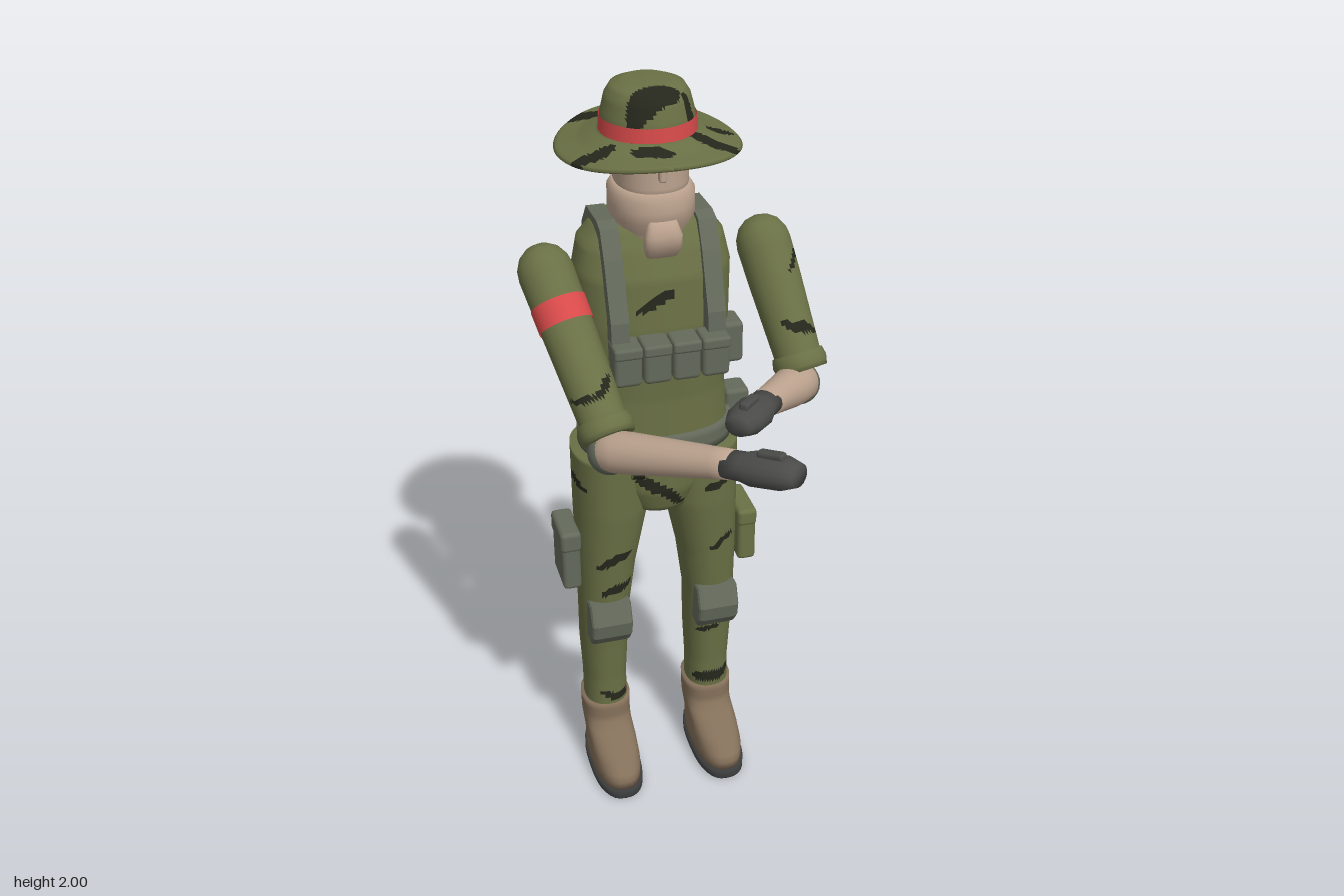
import * as THREE from 'three';
import { RoundedBoxGeometry } from 'three/addons/geometries/RoundedBoxGeometry.js';

const mat = (name, color, side = THREE.FrontSide) => {
  const m = new THREE.MeshStandardMaterial({ color, side });
  m.name = name;
  return m;
};
const V = (a) => new THREE.Vector3(...a);
const CX = -0.032, CZ = -0.24; // body axis

// camouflage patches: x, y, z, half length, slope
const PATCHES = [
  [-0.05, 0.96, -0.12, 0.075, -0.8], [-0.17, 0.74, -0.14, 0.05, 0.5], [-0.16, 0.64, -0.15, 0.05, 0.4],
  [0.13, 0.75, -0.14, 0.04, 0.5], [0.12, 0.95, -0.12, 0.05, 0.3], [0.12, 0.25, -0.18, 0.07, 0.2],
  [-0.16, 0.24, -0.19, 0.05, -0.3], [0.1, 0.43, -0.18, 0.035, 0.3], [0.19, 0.86, -0.27, 0.07, 0.3],
  [0.17, 1.2, -0.3, 0.07, 0.2], [0.17, 1.37, -0.31, 0.06, 0.4], [0.18, 0.57, -0.23, 0.06, -0.4],
  [0.05, 1.6, -0.37, 0.09, 0.1], [-0.15, 1.3, -0.34, 0.08, -0.2], [0.04, 1.22, -0.37, 0.07, 0.3],
  [-0.09, 0.99, -0.37, 0.08, -0.3], [-0.14, 0.78, -0.34, 0.06, 0.4], [0.11, 0.7, -0.34, 0.06, -0.3],
  [-0.2, 0.48, -0.31, 0.06, 0.3], [0.12, 0.38, -0.33, 0.06, 0.3], [-0.05, 1.5, -0.11, 0.05, 0.4],
  [0.28, 1.52, -0.2, 0.06, 0.6], [0.3, 1.4, -0.1, 0.05, -0.4], [-0.32, 1.54, -0.26, 0.06, 0.5],
  [-0.25, 1.36, 0.02, 0.05, 0.5], [-0.21, 0.95, -0.22, 0.06, -0.4], [0.21, 0.74, -0.25, 0.04, 0.6],
];
const bodyDark = (x, y, z) => PATCHES.some(([a, b, c, l, s]) => {
  const dx = x - a, dz = z - c, w = 0.005 * Math.sin(60 * (x - z));
  return (dx * dx + dz * dz) / (l * l) + ((y - b - s * dx + w) / (l * 0.28)) ** 2 < 1;
});
// hat patches seen in plan: x, z, half length, slope
const HAT = [[-0.14, -0.41, 0.08, 0.4], [0, -0.46, 0.035, 0], [-0.04, -0.17, 0.065, -0.1], [-0.19, -0.155, 0.06, -0.1],
  [0.1, -0.145, 0.07, 0.5], [0.14, -0.24, 0.035, 0], [-0.06, -0.1, 0.05, 0.3]];
const hatDark = (x, y, z) => HAT.some(([a, c, l, s]) =>
  ((x - a) / l) ** 2 + ((z - c - s * (x - a)) / (l * 0.3 + 0.006)) ** 2 < 1);

// sorts the triangles into a plain and a dark group
function camo(geo, dark) {
  const g = geo.toNonIndexed(), p = g.attributes.position, lists = [[], []];
  for (let i = 0; i < p.count; i += 3) {
    const m = (f) => (p[f](i) + p[f](i + 1) + p[f](i + 2)) / 3;
    lists[dark(m('getX'), m('getY'), m('getZ')) ? 1 : 0].push(i, i + 1, i + 2);
  }
  g.setIndex(lists.flat());
  g.clearGroups();
  g.addGroup(0, lists[0].length, 0);
  g.addGroup(lists[0].length, lists[1].length, 1);
  return g;
}

// adds points along a polyline so that no step is longer than the given one
function resample(rows, step) {
  const out = [rows[0]];
  for (let k = 1; k < rows.length; k++) {
    const a = rows[k - 1], b = rows[k];
    const n = Math.max(1, Math.ceil(Math.hypot(b[0] - a[0], b[1] - a[1]) / step));
    for (let j = 1; j <= n; j++) out.push(a.map((v, q) => v + (b[q] - v) * j / n));
  }
  return out;
}

// closed loft through horizontal sections [y, x, z, rx, rz], in world space
function loft(sections, seg = 56, power = 2, step = 0.013) {
  const f = sections[0], l = sections[sections.length - 1];
  const rows = [[f[0], f[1], f[2], 0, 0], ...resample(sections, step), [l[0], l[1], l[2], 0, 0]];
  const pos = [], idx = [], sp = (v) => Math.sign(v) * Math.abs(v) ** (2 / power);
  rows.forEach(([y, x, z, rx, rz], j) => {
    for (let i = 0; i < seg; i++) {
      const a = i / seg * Math.PI * 2;
      pos.push(CX + x + rx * sp(Math.cos(a)), y, CZ + z + rz * sp(Math.sin(a)));
      if (j === rows.length - 1) continue;
      const p = j * seg + i, q = j * seg + (i + 1) % seg;
      idx.push(p, p + seg, q, q, p + seg, q + seg);
    }
  });
  const g = new THREE.BufferGeometry();
  g.setAttribute('position', new THREE.Float32BufferAttribute(pos, 3));
  g.setIndex(idx);
  g.computeVertexNormals();
  return g;
}

const lathe = (pts, seg, step) =>
  new THREE.LatheGeometry(resample(pts, step).map(([r, y]) => new THREE.Vector2(r, y)), seg);

// turned shape [radius, distance] running from p0 towards p1
function limb(p0, p1, pts, seg = 36, step = 0.013) {
  const g = lathe(pts, seg, step), d = V(p1).sub(V(p0)).normalize();
  g.applyQuaternion(new THREE.Quaternion().setFromUnitVectors(new THREE.Vector3(0, 1, 0), d));
  return g.translate(...p0);
}

export function createModel() {
  const root = new THREE.Group();
  root.name = 'soldier';
  const olive = mat('olive cloth', 0x6a7045), dark = mat('dark camouflage', 0x26271c);
  const skin = mat('skin', 0xbba28e), gear = mat('grey webbing', 0x646a5b), glove = mat('glove grey', 0x4b4c4a);
  const boot = mat('boot leather', 0x84705a), sole = mat('sole rubber', 0x3b3c3c);
  const red = mat('red marking', 0xd84a4a, THREE.DoubleSide);
  const cloth = [olive, dark];
  const add = (name, geo, m, parent = root) => {
    const mesh = new THREE.Mesh(geo, m);
    mesh.name = name;
    parent.add(mesh);
    return mesh;
  };
  // rounded box placed relative to the body axis
  const box = (name, w, h, d, x, y, z, m = gear, r = 0.012) => add(name,
    new RoundedBoxGeometry(w, h, d, 2, Math.min(r, w / 2.1, h / 2.1, d / 2.1)).translate(CX + x, y, CZ + z), m);

  // torso and pelvis
  add('torso', camo(loft([[1.0, 0, 0, 0.19, 0.125], [1.1, 0, 0, 0.19, 0.125], [1.22, 0, 0, 0.183, 0.122],
    [1.42, 0, 0, 0.19, 0.138], [1.55, 0, -0.005, 0.195, 0.132], [1.62, 0, -0.012, 0.18, 0.115],
    [1.665, 0, -0.015, 0.14, 0.095], [1.68, 0, -0.015, 0.09, 0.08]], 80, 2.4), bodyDark), cloth);
  add('pelvis', camo(loft([[0.885, 0, 0, 0.085, 0.105], [0.95, 0, 0, 0.13, 0.125],
    [1.06, 0, 0, 0.195, 0.128]], 72, 2.3), bodyDark), cloth);

  // legs, boots, knee pads
  for (const s of [-1, 1]) {
    const side = s > 0 ? 'left' : 'right';
    add(side + 'Leg', camo(loft([[0.2, s * 0.15, -0.022, 0.06, 0.07], [0.3, s * 0.15, -0.023, 0.06, 0.073],
      [0.42, s * 0.15, -0.02, 0.066, 0.08], [0.55, s * 0.149, -0.005, 0.069, 0.082], [0.7, s * 0.14, -0.001, 0.079, 0.095],
      [0.88, s * 0.122, -0.002, 0.098, 0.116], [1.05, s * 0.115, -0.003, 0.105, 0.124]], 56, 2.2), bodyDark), cloth);
    add(side + 'Boot', loft([[0.03, s * 0.15, 0.055, 0.066, 0.155], [0.075, s * 0.15, 0.053, 0.066, 0.152],
      [0.105, s * 0.15, 0.03, 0.066, 0.128], [0.13, s * 0.15, -0.01, 0.066, 0.087], [0.15, s * 0.15, -0.023, 0.067, 0.074],
      [0.215, s * 0.15, -0.025, 0.068, 0.075]], 32, 2.5, 0.03), boot);
    add(side + 'Sole', loft([[0, s * 0.15, 0.055, 0.066, 0.157], [0.006, s * 0.15, 0.055, 0.07, 0.161],
      [0.032, s * 0.15, 0.055, 0.07, 0.161]], 32, 2.6, 0.03), sole);
    const pad = new THREE.Shape([[0.02, 0.47], [0.075, 0.47], [0.098, 0.5], [0.105, 0.54], [0.085, 0.59], [0.02, 0.59]]
      .map((p) => new THREE.Vector2(-p[0], p[1])));
    add(side + 'KneePad', new THREE.ExtrudeGeometry(pad, { depth: 0.085, bevelSize: 0.008, bevelThickness: 0.014, bevelSegments: 2 })
      .translate(0, 0, -0.0425).rotateY(Math.PI / 2).translate(CX + s * 0.15, 0, CZ), gear);
  }
  box('leftThighPocket', 0.05, 0.16, 0.14, 0.238, 0.74, 0.005, olive);
  box('leftPocketFlap', 0.054, 0.05, 0.146, 0.238, 0.795, 0.005, olive);
  box('rightThighPouch', 0.05, 0.18, 0.13, -0.243, 0.73, -0.01);
  box('rightPouchFlap', 0.056, 0.06, 0.136, -0.243, 0.79, -0.01);

  // belt
  add('belt', loft([[1.06, 0, 0, 0.2, 0.134], [1.12, 0, 0, 0.2, 0.134]], 56, 2.4, 0.03), gear);
  box('buckle', 0.06, 0.045, 0.02, 0, 1.09, 0.138, gear, 0.006);
  box('leftBeltPouch', 0.065, 0.12, 0.075, 0.223, 1.1, -0.022);
  box('rearBeltPouch', 0.09, 0.075, 0.06, -0.11, 1.055, -0.14);

  // chest rig
  for (let i = 0; i < 4; i++) {
    const x = (i - 1.5) * 0.073;
    box('chestPouch', 0.069, 0.1, 0.07, x, 1.365, 0.165);
    box('chestPouchFlap', 0.071, 0.03, 0.076, x, 1.405, 0.167, gear, 0.008);
  }
  const outer = [[0.17, 1.36], [0.163, 1.47], [0.11, 1.61], [0.075, 1.675], [0.04, 1.685], [-0.07, 1.68],
    [-0.125, 1.62], [-0.16, 1.54], [-0.165, 1.3]];
  const inner = outer.map(([z, y]) => [z * 0.75, y > 1.6 ? y - 0.03 : y]).reverse();
  const strap = new THREE.Shape([...outer, ...inner].map((p) => new THREE.Vector2(-p[0], p[1])));
  for (const s of [-1, 1]) {
    add('shoulderStrap', new THREE.ExtrudeGeometry(strap, { depth: 0.045, bevelEnabled: false })
      .translate(0, 0, -0.0225).rotateY(Math.PI / 2).translate(CX + s * 0.12, 0, CZ), gear);
    box('sidePouch', 0.055, 0.11, 0.08, s * 0.182, 1.345, 0.06);
  }

  // backpack
  box('backpack', 0.2, 0.3, 0.075, 0, 1.42, -0.177, gear, 0.025);
  box('backpackPatch', 0.085, 0.05, 0.009, 0, 1.49, -0.215, red, 0.002);

  // head
  add('head', loft([[1.74, 0, 0.005, 0.088, 0.108], [1.88, 0, 0.005, 0.088, 0.108]], 40, 2.2, 0.04), skin);
  add('jawAndNeck', loft([[1.6, 0, 0, 0.085, 0.085], [1.66, 0, 0, 0.092, 0.1], [1.69, 0, 0.005, 0.103, 0.118],
    [1.745, 0, 0.005, 0.103, 0.118], [1.765, 0, 0.005, 0.09, 0.109]], 40, 2.2, 0.04), skin);
  add('chin', loft([[1.605, 0, 0.1, 0.038, 0.014], [1.63, 0, 0.112, 0.046, 0.022], [1.665, 0, 0.118, 0.046, 0.024],
    [1.7, 0, 0.108, 0.034, 0.02]], 24, 3, 0.03), skin);
  box('nose', 0.018, 0.04, 0.024, 0, 1.815, 0.115, skin, 0.006);
  for (const s of [-1, 1])
    add('earpiece', new THREE.SphereGeometry(0.018, 14, 10).translate(CX + s * 0.094, 1.823, CZ - 0.005), glove);

  // hat with a brim raised at the front and back
  const hat = lathe([[0, 1.862], [0.1, 1.86], [0.216, 1.834], [0.222, 1.839], [0.216, 1.845], [0.165, 1.86], [0.114, 1.884],
    [0.112, 1.92], [0.101, 1.965], [0.088, 1.986], [0.06, 1.997], [0, 2]], 90, 0.01);
  const hp = hat.attributes.position;
  for (let i = 0; i < hp.count; i++) {
    const r = Math.hypot(hp.getX(i), hp.getZ(i));
    if (hp.getY(i) < 1.88) hp.setY(i, hp.getY(i) + 0.024 * (r / 0.22) ** 2 * (hp.getZ(i) / (r + 1e-6)) ** 2);
  }
  hat.computeVertexNormals();
  hat.scale(1, 1, 1.05).translate(CX, 0, CZ - 0.014);
  add('hat', camo(hat, hatDark), cloth);
  add('hatBand', new THREE.CylinderGeometry(0.1145, 0.117, 0.036, 48, 1, true).scale(1, 1, 1.05)
    .translate(CX, 1.901, CZ - 0.014), red);

  // arms
  const arms = [
    { side: 'right', shoulder: [-0.3, 1.568, -0.21], elbow: [-0.222, 1.26, 0.075], joint: [-0.225, 1.235, 0.1],
      wrist: [0.0, 1.305, 0.345], tip: [0.11, 1.335, 0.475] },
    { side: 'left', shoulder: [0.255, 1.565, -0.24], elbow: [0.308, 1.285, -0.07], joint: [0.302, 1.253, -0.065],
      wrist: [0.165, 1.287, 0.07], tip: [0.06, 1.303, 0.185] },
  ];
  for (const a of arms) {
    const L = V(a.shoulder).distanceTo(V(a.elbow)), F = V(a.joint).distanceTo(V(a.wrist));
    add(a.side + 'Sleeve', camo(limb(a.shoulder, a.elbow, [[0, -0.067], [0.028, -0.061], [0.05, -0.045], [0.064, -0.02],
      [0.068, 0.005], [0.066, 0.1], [0.057, L], [0, L]], 44), bodyDark), cloth);
    add(a.side + 'Cuff', camo(limb(a.shoulder, a.elbow, [[0.05, L - 0.045], [0.064, L - 0.042], [0.069, L - 0.02],
      [0.064, L + 0.004], [0, L + 0.006]]), bodyDark), cloth);
    add(a.side + 'Forearm', limb(a.joint, a.wrist, [[0, -0.05], [0.035, -0.038], [0.051, 0], [0.05, 0.06],
      [0.035, F], [0, F]], 28, 0.05), skin);
    add(a.side + 'ElbowPad', new THREE.SphereGeometry(0.054, 24, 16)
      .translate(a.joint[0], a.joint[1] - 0.008, a.joint[2] - 0.008), gear);
    // hand
    const hand = new THREE.Group();
    hand.name = a.side + 'Hand';
    hand.position.set(...a.wrist);
    hand.lookAt(V(a.tip));
    const H = V(a.wrist).distanceTo(V(a.tip));
    add('glove', lathe([[0, -0.015], [0.042, -0.015], [0.043, 0.03], [0.052, 0.06], [0.05, H - 0.04], [0.034, H], [0, H]], 16, 0.1)
      .rotateX(Math.PI / 2).scale(0.95, 0.75, 1), glove, hand);
    add('thumb', new RoundedBoxGeometry(0.026, 0.024, 0.07, 2, 0.009).translate(0, 0.038, H * 0.62), glove, hand);
    root.add(hand);
  }
  add('armBand', limb(arms[0].shoulder, arms[0].elbow, [[0.0685, 0.085], [0.0675, 0.145]]), red);
  return root;
}
